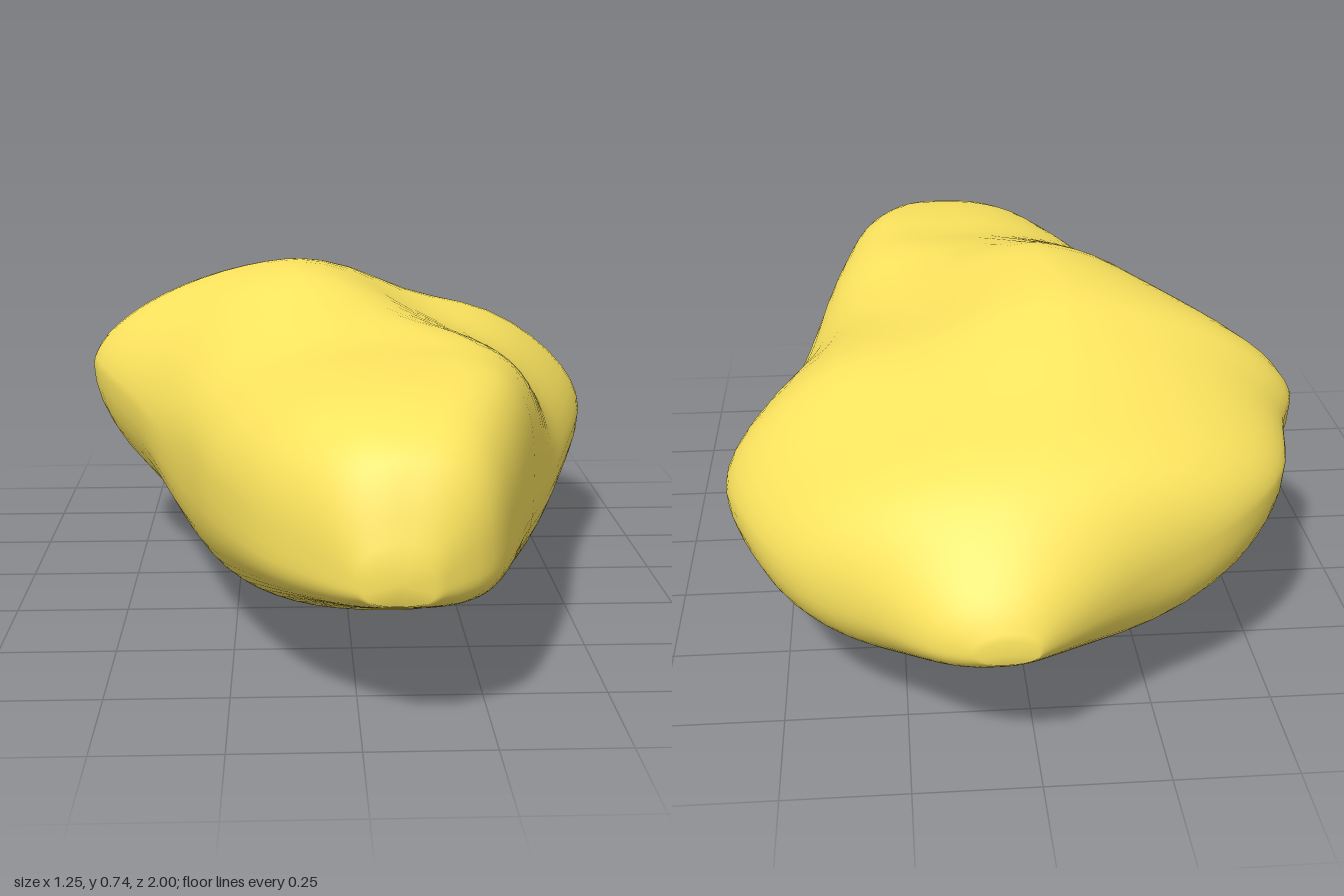
import * as THREE from 'three';

// Cross-sections from back to front:
// z, right edge (x, y), left edge (x, y), crest (x, y), underside (x, y)
const SECTIONS = [
  [-1.0, 0.01, 0.30, 0.12, 0.30, 0.07, 0.33, 0.07, 0.28],
  [-0.96, -0.05, 0.32, 0.21, 0.30, 0.06, 0.40, 0.09, 0.25],
  [-0.85, -0.21, 0.36, 0.33, 0.31, 0.03, 0.51, 0.09, 0.19],
  [-0.74, -0.41, 0.41, 0.46, 0.32, -0.02, 0.58, 0.09, 0.14],
  [-0.6, -0.53, 0.44, 0.55, 0.33, -0.07, 0.63, 0.08, 0.085],
  [-0.4, -0.58, 0.46, 0.62, 0.34, -0.1, 0.70, 0.08, 0.045],
  [-0.25, -0.62, 0.47, 0.61, 0.33, -0.1, 0.735, 0.09, 0.015],
  [0.0, -0.5, 0.42, 0.53, 0.29, -0.08, 0.74, 0.1, 0.0],
  [0.2, -0.42, 0.38, 0.47, 0.29, -0.03, 0.69, 0.1, 0.015],
  [0.4, -0.35, 0.37, 0.41, 0.31, 0.1, 0.645, 0.1, 0.05],
  [0.6, -0.29, 0.36, 0.36, 0.34, 0.15, 0.635, 0.1, 0.125],
  [0.8, -0.2, 0.35, 0.3, 0.35, 0.11, 0.605, 0.1, 0.205],
  [0.93, -0.09, 0.33, 0.24, 0.34, 0.09, 0.53, 0.08, 0.25],
  [1.0, 0.0, 0.31, 0.13, 0.31, 0.07, 0.36, 0.07, 0.28],
];

// Smooth interpolation of all section values
function sectionAt(t) {
  const last = SECTIONS.length - 1;
  const i = Math.min(Math.floor(t), last - 1), f = t - i;
  const [a, b, c, d] = [i - 1, i, i + 1, i + 2].map(k => SECTIONS[Math.max(0, Math.min(last, k))]);
  return b.map((v, k) => {
    const m0 = (c[k] - a[k]) / 2, m1 = (d[k] - v) / 2;
    return v + f * (m0 + f * (3 * (c[k] - v) - 2 * m0 - m1 + f * (2 * (v - c[k]) + m0 + m1)));
  });
}

// Roundness of one quarter (below 1 is boxy, above 1 is pinched), blended along the body
function roundness(z, back, middle, shoulder, tip) {
  const { lerp, smoothstep } = THREE.MathUtils;
  let p = lerp(back, middle, smoothstep(z, -0.85, -0.5));
  p = lerp(p, shoulder, smoothstep(z, -0.05, 0.45));
  return lerp(p, tip, smoothstep(z, 0.6, 0.9));
}

// Point on the section outline: four rounded quarters joining the edges, crest and underside
function outline(s, angle) {
  const [z, xR, yR, xL, yL, xT, yT, xB, yB] = s;
  const c = Math.cos(angle), n = Math.sin(angle);
  const p = n >= 0
    ? (c >= 0 ? roundness(z, 1.0, 1.17, 0.58, 0.72) : roundness(z, 0.95, 1.22, 0.8, 0.8))
    : (c >= 0 ? roundness(z, 0.85, 1.0, 0.95, 0.7) : roundness(z, 0.85, 1.04, 0.8, 0.7));
  const u = Math.abs(c) ** p, v = Math.abs(n) ** p;
  const [midX, midY] = n >= 0 ? [xT, yT] : [xB, yB];
  const [sideX, sideY] = c >= 0 ? [xL, yL] : [xR, yR];
  const x = midX + (sideX - midX) * u;
  let y = sideY + (midY - sideY) * v;
  // Shallow valley along the top
  if (n > 0) y -= 0.055 * n * Math.exp(-(((x - 0.2) / 0.15) ** 2) - ((z + 0.14) / 0.32) ** 2);
  return [x, y, z];
}

function lumpGeometry(rows, cols) {
  const positions = [], index = [];
  for (let i = 0; i <= rows; i++) {
    const s = sectionAt((i / rows) * (SECTIONS.length - 1));
    for (let j = 0; j < cols; j++) positions.push(...outline(s, (j / cols) * Math.PI * 2));
  }
  for (let i = 0; i < rows; i++) {
    for (let j = 0; j < cols; j++) {
      const a = i * cols + j, b = i * cols + (j + 1) % cols;
      index.push(a, b, a + cols, b, b + cols, a + cols);
    }
  }
  // Close both ends
  const back = positions.length / 3, front = back + 1, rim = rows * cols;
  positions.push(0.07, 0.3, -1, 0.07, 0.32, 1);
  for (let j = 0; j < cols; j++) {
    const k = (j + 1) % cols;
    index.push(back, k, j, front, rim + j, rim + k);
  }
  const geometry = new THREE.BufferGeometry();
  geometry.setAttribute('position', new THREE.Float32BufferAttribute(positions, 3));
  geometry.setIndex(index);
  geometry.computeVertexNormals();
  return geometry;
}

export function createModel() {
  const group = new THREE.Group();
  group.name = 'nugget';
  const material = new THREE.MeshStandardMaterial({ color: 0xfce45e });
  const body = new THREE.Mesh(lumpGeometry(52, 56), material);
  body.name = 'nuggetBody';
  group.add(body);
  return group;
}
